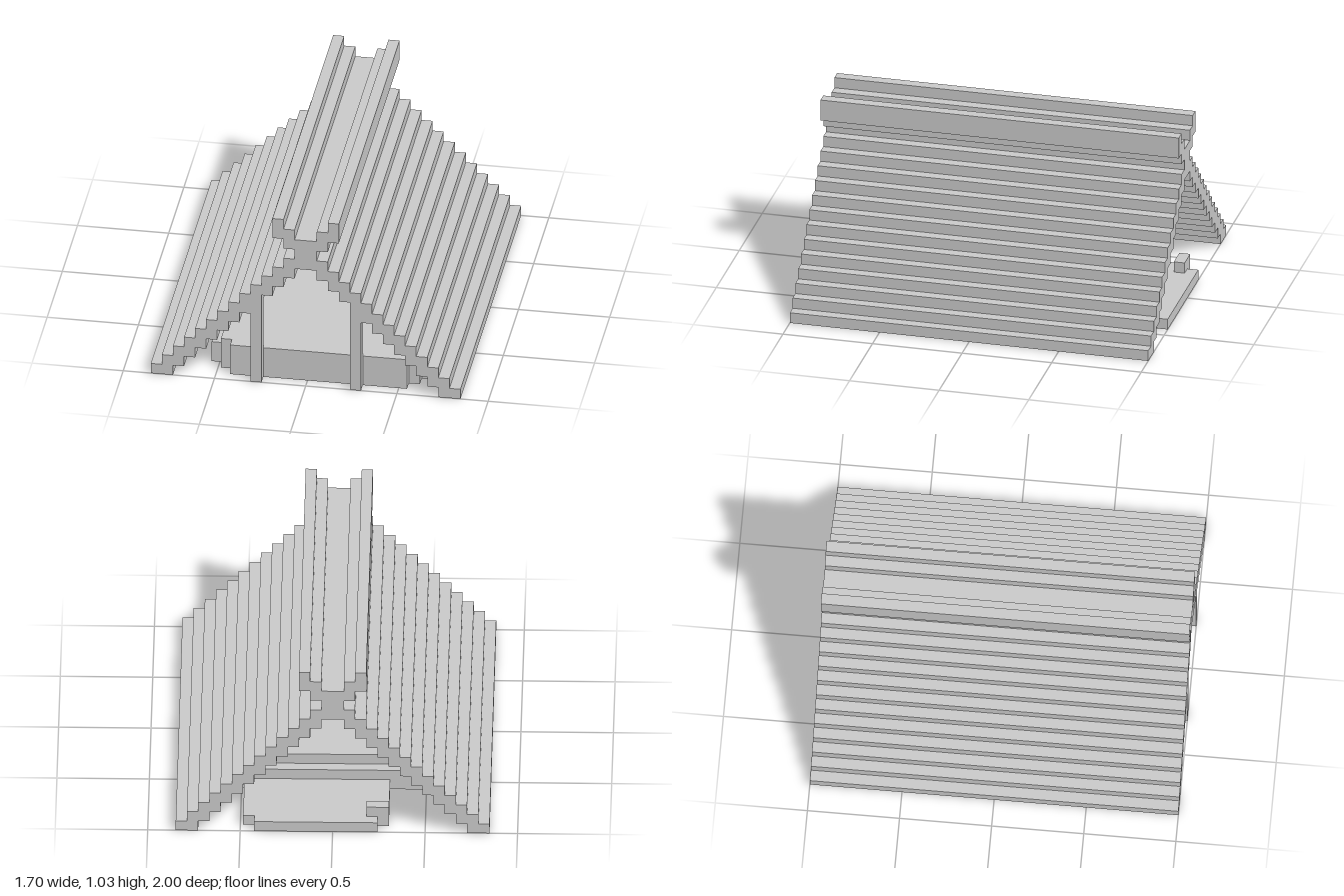
import * as THREE from 'three';

const U = 2 / 33; // one block
const material = new THREE.MeshStandardMaterial({ color: 0xcccccc, flatShading: true });

// Box in block units; z0 and z1 are counted backwards from the front edge.
function block(name, [x0, x1], [y0, y1], [z0, z1]) {
  const geometry = new THREE.BoxGeometry((x1 - x0) * U, (y1 - y0) * U, (z1 - z0) * U);
  const mesh = new THREE.Mesh(geometry, material);
  mesh.name = name;
  mesh.position.set((x0 + x1) / 2 * U, (y0 + y1) / 2 * U, 1 - (z0 + z1) / 2 * U);
  return mesh;
}

// Stepped roof half: a span of blocks per row, extruded along the depth.
function roofHalf(side) {
  const rows = [];
  for (let k = 0; k < 13; k++) rows.push([12 - k, 14 - k]);
  rows.push([0, 1], [0, 2], [1, 3], [2, 3]); // ridge crossing and raised arm
  const inner = [], outer = [];
  rows.forEach(([a, b], k) => {
    for (const y of [k, k + 1]) {
      inner.push(new THREE.Vector2(side * a * U, y * U));
      outer.push(new THREE.Vector2(side * b * U, y * U));
    }
  });
  const shape = new THREE.Shape([...inner, ...outer.reverse()]);
  const geometry = new THREE.ExtrudeGeometry(shape, { depth: 2, bevelEnabled: false });
  geometry.translate(0, 0, -1);
  const mesh = new THREE.Mesh(geometry, material);
  mesh.name = side > 0 ? 'leftRoof' : 'rightRoof';
  return mesh;
}

export function createModel() {
  const model = new THREE.Group();
  model.name = 'tentHut';

  // Roof slopes and the front posts that hold them
  for (const side of [1, -1]) {
    model.add(roofHalf(side));
    const x = side > 0 ? [4, 5] : [-5, -4];
    model.add(block(side > 0 ? 'leftPost' : 'rightPost', x, [0, 8], [0, 1]));
  }

  // Raised floor with stepped front corners
  const floor = new THREE.Group();
  floor.name = 'floor';
  floor.add(
    block('lowerFloor', [-9, 11], [0, 2], [3, 26]),
    block('lowerFloorCorner', [-8, 10], [0, 2], [2, 3]),
    block('upperFloor', [-8, 10], [2, 3], [2, 24]),
    block('upperFloorBack', [-7, 9], [2, 3], [24, 25]),
    block('floorFront', [-7, 9], [0, 3], [1, 2])
  );
  model.add(floor);

  // Low step at the back entrance
  const step = new THREE.Group();
  step.name = 'backStep';
  step.add(
    block('stepTread', [-5, 8], [0, 1], [26, 32]),
    block('stepEdge', [-4, 7], [0, 1], [32, 33]),
    block('stepBump', [-5, -3], [1, 2], [31, 32])
  );
  model.add(step);
  return model;
}
